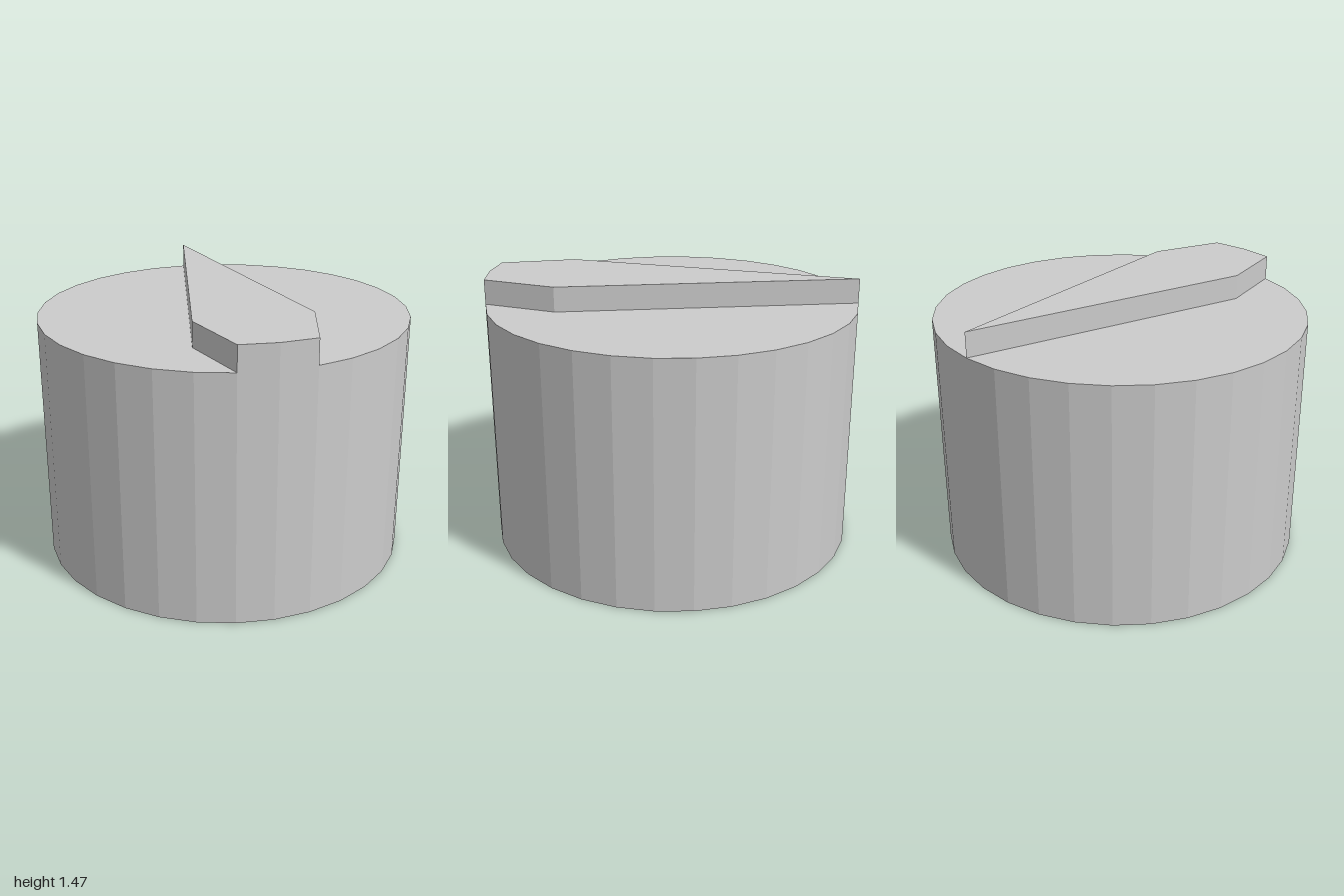
import * as THREE from 'three';

const SIDES = 32;
const BODY_HEIGHT = 1.333;
const POINTER_HEIGHT = 0.133;

export function createModel() {
  const group = new THREE.Group();
  group.name = 'knob';
  const material = new THREE.MeshStandardMaterial({ color: 0xcccccc, flatShading: true });

  // Faceted cylindrical body
  const body = new THREE.Mesh(new THREE.CylinderGeometry(1, 1, BODY_HEIGHT, SIDES), material);
  body.name = 'knobBody';
  body.position.y = BODY_HEIGHT / 2;
  group.add(body);

  // Raised pointer, drawn in (x, z): tip, shoulder, three rim corners, shoulder
  const rim = (step) => {
    const a = (step / SIDES) * Math.PI * 2;
    return new THREE.Vector2(Math.cos(a), Math.sin(a));
  };
  const outline = new THREE.Shape([
    rim(20),
    new THREE.Vector2(0.634, 0.195),
    rim(3), rim(4), rim(5),
    new THREE.Vector2(0.195, 0.634),
  ]);
  const pointerGeometry = new THREE.ExtrudeGeometry(outline, { depth: POINTER_HEIGHT, bevelEnabled: false });
  pointerGeometry.rotateX(Math.PI / 2);
  const pointer = new THREE.Mesh(pointerGeometry, material);
  pointer.name = 'pointer';
  pointer.position.y = BODY_HEIGHT + POINTER_HEIGHT;
  group.add(pointer);

  return group;
}
